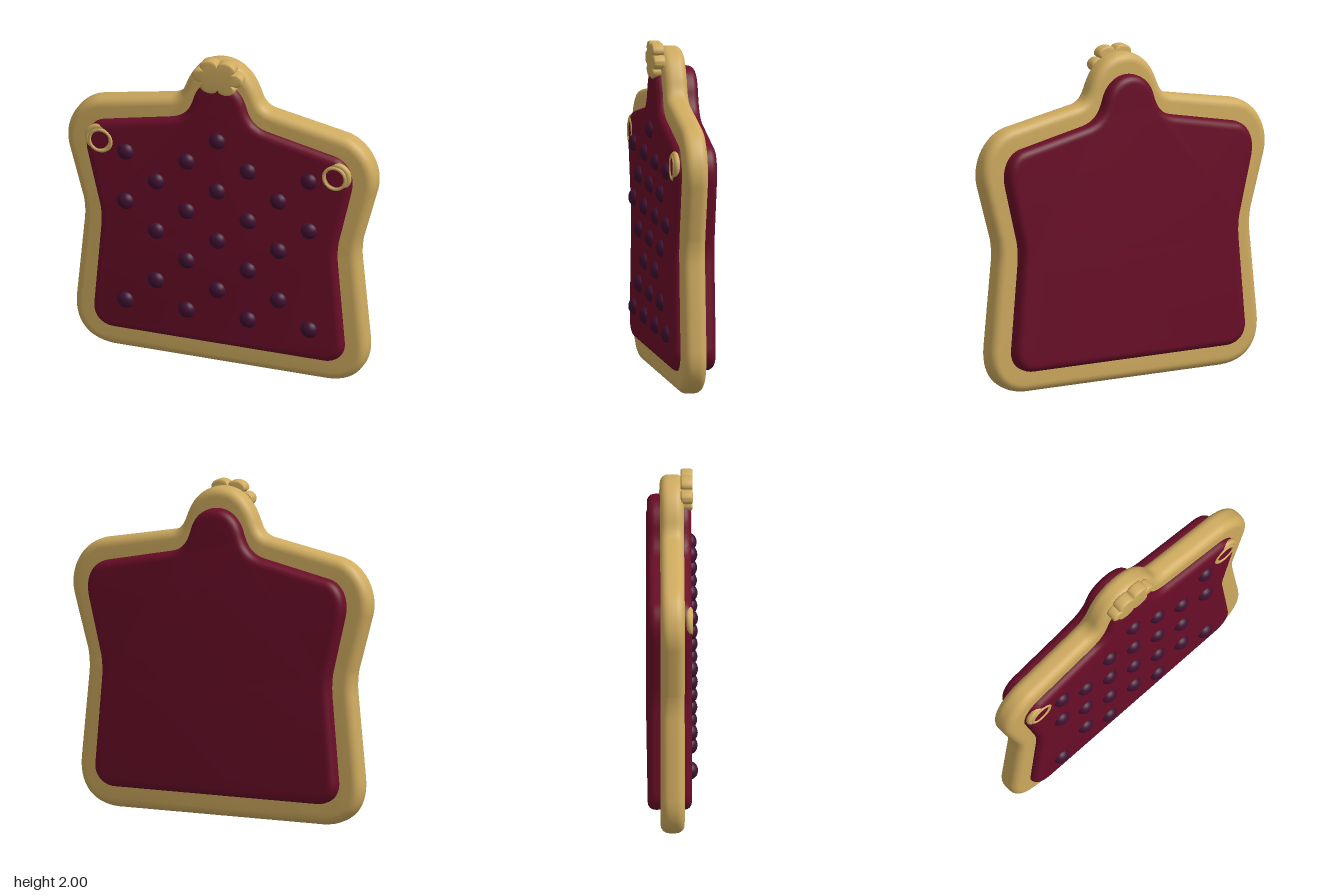
import * as THREE from 'three';
import { toCreasedNormals } from 'three/addons/utils/BufferGeometryUtils.js';

const mat = (name, color) => {
  const m = new THREE.MeshStandardMaterial({ color });
  m.name = name;
  return m;
};

// Full outline mirrored from its right half: 2 numbers = line, 4 = quadratic, 6 = cubic
function mirroredShape(startY, steps) {
  const path = new THREE.Path().moveTo(0, startY);
  for (const s of steps) {
    if (s.length === 2) path.lineTo(...s);
    else if (s.length === 4) path.quadraticCurveTo(...s);
    else path.bezierCurveTo(...s);
  }
  const half = path.getPoints(14);
  const other = half.slice(1, -1).reverse().map(p => new THREE.Vector2(-p.x, p.y));
  return new THREE.Shape([...half, ...other]);
}

// Rounded slab between two z values, keeping the outline as its widest size
function slab(shape, z0, z1, bevel, segments = 6) {
  const geo = new THREE.ExtrudeGeometry(shape, {
    depth: z1 - z0 - 2 * bevel, bevelThickness: bevel, bevelSize: bevel,
    bevelOffset: -bevel, bevelSegments: segments, curveSegments: 12,
  });
  geo.translate(0, 0, z0 + bevel);
  return toCreasedNormals(geo, 0.6);
}

export function createModel() {
  const gold = mat('gold', 0xcfab5f);
  const burgundy = mat('burgundy', 0x6a0d28);
  const plum = mat('plum', 0x3f1030);
  const group = new THREE.Group();
  group.name = 'cushionedBackrest';

  const add = (name, geo, material, x = 0, y = 0, z = 0) => {
    const mesh = new THREE.Mesh(geo, material);
    mesh.name = name;
    mesh.position.set(x, y, z);
    group.add(mesh);
    return mesh;
  };

  // Gold frame
  const frame = mirroredShape(0.005, [
    [0.67, 0.005], [0.84, 0.01, 0.93, 0.12, 0.915, 0.29],
    [0.867, 0.78], [0.857, 0.86, 0.872, 0.94],
    [0.962, 1.27], [1.0, 1.43, 0.9, 1.58, 0.77, 1.61],
    [0.32, 1.695], [0.25, 1.71, 0.24, 1.76, 0.22, 1.81],
    [0.17, 1.93, 0.09, 1.98, 0, 1.98],
  ]);
  add('frame', slab(frame, -0.072, 0.07, 0.05), gold);

  // Padded cushion, bulging out of both sides of the frame
  const cushion = mirroredShape(0.14, [
    [0.66, 0.14], [0.74, 0.14, 0.8, 0.2, 0.787, 0.29],
    [0.745, 0.78], [0.738, 0.86, 0.75, 0.93],
    [0.83, 1.27], [0.855, 1.38, 0.81, 1.47, 0.73, 1.49],
    [0.3, 1.58], [0.2, 1.605, 0.18, 1.67, 0.16, 1.74],
    [0.13, 1.82, 0.07, 1.86, 0, 1.86],
  ]);
  add('cushion', slab(cushion, -0.148, 0.113, 0.045), burgundy);

  // Tufting buttons in staggered rows
  const wide = [-0.578, -0.193, 0.193, 0.578];
  const three = [-0.385, 0, 0.385];
  const rows = [
    [1.485, [0]], [1.32, wide], [1.157, three], [0.995, wide],
    [0.832, three], [0.67, [-0.193, 0.193]], [0.507, three], [0.345, wide],
  ];
  const button = new THREE.SphereGeometry(0.053, 20, 14);
  for (const [y, xs] of rows) {
    for (const x of xs) add('button', button, plum, x, y, 0.106).scale.z = 0.83;
  }

  // Curled rings on the upper corners
  for (const side of [-1, 1]) {
    add('cornerRing', new THREE.TorusGeometry(0.068, 0.012, 10, 36), gold, side * 0.738, 1.365, 0.108);
    add('cornerCurl', new THREE.TorusGeometry(0.072, 0.018, 10, 36), gold, side * 0.75, 1.376, 0.096);
  }

  // Six-petalled crest flower
  const petals = [];
  for (let i = 0; i < 96; i++) {
    const a = (i / 96) * Math.PI * 2;
    const r = 0.1 + 0.045 * Math.sqrt(Math.abs(Math.cos(3 * a)));
    petals.push(new THREE.Vector2(1.1 * r * Math.cos(a), 0.8 * r * Math.sin(a)));
  }
  add('crestFlower', slab(new THREE.Shape(petals), 0.05, 0.122, 0.012, 3), gold, 0, 1.9);

  return group;
}
